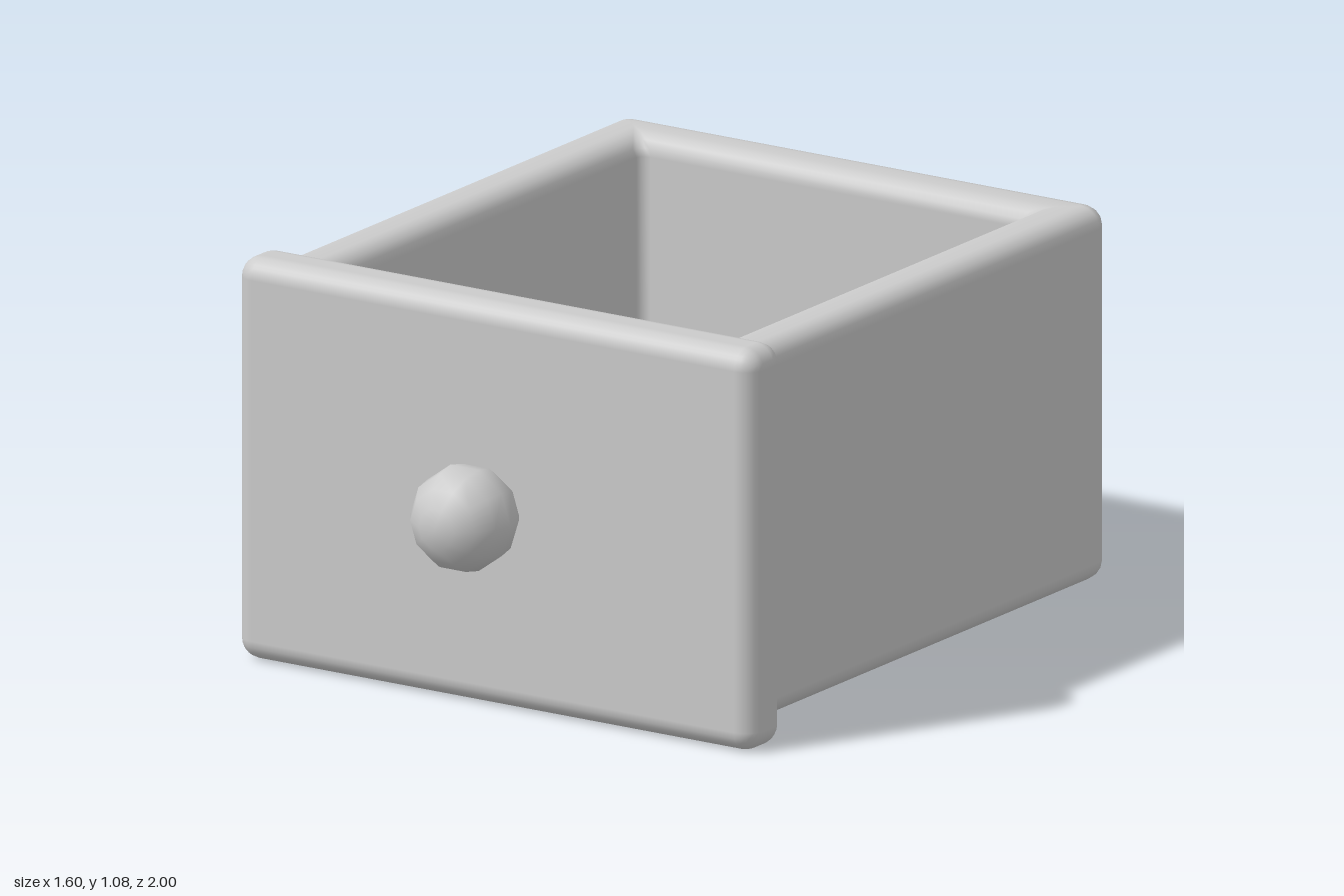
import * as THREE from 'three';
import { RoundedBoxGeometry } from 'three/addons/geometries/RoundedBoxGeometry.js';

const material = () => new THREE.MeshStandardMaterial({ color: 0xcccccc });
const FRONT = 0.65; // the tray runs into the front panel up to here

// U-shaped horizontal section: open at the front, rounded at both back corners
function uSection({ inset, y, r, flat }) {
  const w = 0.753 - inset, back = -1 + inset, steps = 4, half = [];
  for (const z of [FRONT, 0.2, -0.3, -0.7]) half.push([w, z]);
  for (let i = 0; i <= steps; i++) {
    const a = (i / steps) * Math.PI / 2;
    half.push([w - r + r * Math.cos(a), back + r - r * Math.sin(a)]);
  }
  const all = [...half, ...half.slice().reverse().map(([x, z]) => [-x, z])];
  return all.map(([x, z]) => [flat ? 0 : x, y, z]);
}

// Joins the sections into one smooth skin
function loft(sections) {
  const n = sections[0].length, index = [];
  for (let s = 0; s < sections.length - 1; s++) {
    for (let i = 0; i < n - 1; i++) {
      const a = s * n + i, b = a + 1, c = a + n, d = c + 1;
      index.push(a, b, c, b, d, c);
    }
  }
  const geometry = new THREE.BufferGeometry();
  geometry.setAttribute('position', new THREE.Float32BufferAttribute(sections.flat(2), 3));
  geometry.setIndex(index);
  geometry.computeVertexNormals();
  return geometry;
}

function createTray() {
  const bottom = 0.05, top = 1.05, floor = 0.2, wall = 0.155, b = 0.055, e = 0.003;
  const profile = [{ inset: b, y: bottom, r: e, flat: true }];
  // Adds a quarter-round edge; place(c, s) gives the section at each angle
  const edge = (place) => {
    for (let i = 0; i <= 4; i++) {
      const a = (i / 4) * Math.PI / 2;
      profile.push(place(Math.cos(a), Math.sin(a)));
    }
  };
  // Outer bottom edge, outer top edge, inner top edge
  edge((c, s) => ({ inset: b * (1 - s), y: bottom + b * (1 - c), r: b * s + e }));
  edge((c, s) => ({ inset: b * (1 - c), y: top - b * (1 - s), r: b * c + e }));
  edge((c, s) => ({ inset: wall - b * (1 - s), y: top - b * (1 - c), r: e + 0.03 * s }));
  // Inner wall down to a small fillet at the floor
  const f = 0.03;
  edge((c, s) => ({ inset: wall + f * (1 - c), y: floor + f * (1 - s), r: f * c + e }));
  profile.push({ inset: wall + f, y: floor, r: e, flat: true });
  return loft(profile.map(uSection));
}

export function createModel() {
  const group = new THREE.Group();
  const add = (name, geometry, x, y, z) => {
    const mesh = new THREE.Mesh(geometry, material());
    mesh.name = name;
    mesh.position.set(x, y, z);
    group.add(mesh);
    return mesh;
  };

  // Open box with rounded rim
  add('drawerTray', createTray(), 0, 0, 0);

  // Overhanging front panel
  add('frontPanel', new RoundedBoxGeometry(1.6, 1.075, 0.155, 3, 0.055), 0, 0.5375, 0.65);

  // Round pull knob, its pole facing forward
  const knob = add('knob', new THREE.SphereGeometry(0.142, 10, 8), 0, 0.54, 0.858);
  knob.rotation.set(Math.PI / 2, 0, 0);

  return group;
}
